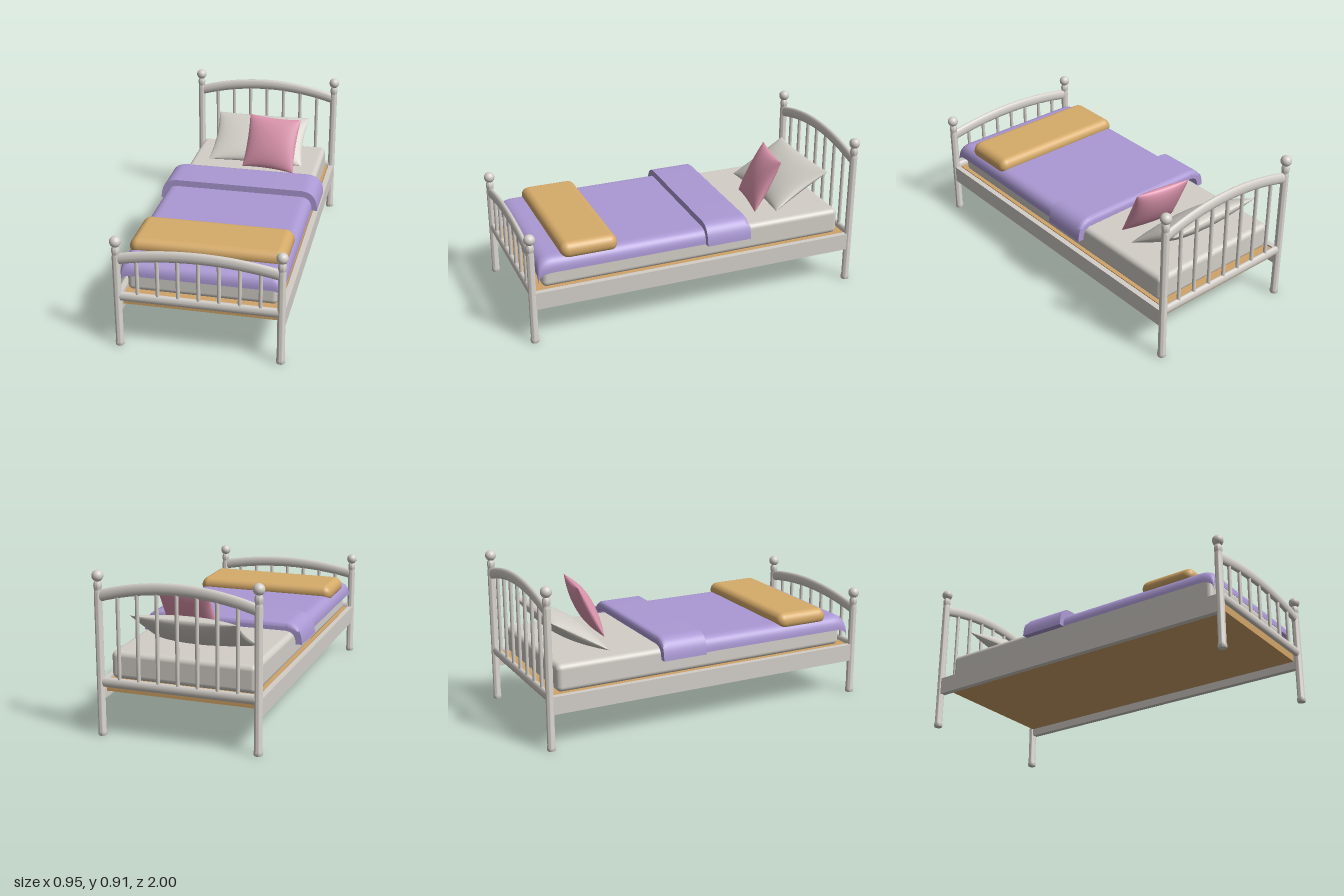
import * as THREE from 'three';
import { mergeGeometries, toCreasedNormals } from 'three/addons/utils/BufferGeometryUtils.js';
import { RoundedBoxGeometry } from 'three/addons/geometries/RoundedBoxGeometry.js';

const material = (name, color, side = THREE.FrontSide) => {
  const m = new THREE.MeshStandardMaterial({ color, side });
  m.name = name;
  return m;
};

// Move every vertex of a geometry by a rule
function reshape(geometry, rule) {
  const p = geometry.attributes.position;
  const v = new THREE.Vector3();
  for (let i = 0; i < p.count; i++) {
    rule(v.fromBufferAttribute(p, i));
    p.setXYZ(i, v.x, v.y, v.z);
  }
  geometry.computeVertexNormals();
  return geometry;
}

// Turned bed post with a ball finial
function postGeometry(ballY) {
  const post = [
    [0, 0], [0.022, 0], [0.024, 0.005], [0.024, 0.022], [0.0215, 0.03],
    [0.0215, ballY - 0.09], [0.02, ballY - 0.08], [0.0185, ballY - 0.075],
    [0.021, ballY - 0.066], [0.023, ballY - 0.052], [0.021, ballY - 0.038], [0.015, ballY - 0.026],
  ].map(([r, y]) => new THREE.Vector2(r, y));
  const ball = new THREE.SphereGeometry(0.031, 28, 18).translate(0, ballY, 0);
  const lathe = toCreasedNormals(new THREE.LatheGeometry(post, 24), 0.7);
  return mergeGeometries([lathe, ball.toNonIndexed()]);
}

const archY = (x, endY, rise) => endY + rise * (1 - (x / 0.43) ** 2);

// Oval cross bar along x, bowed upward by rise
function barGeometry(endY, rise, halfHeight) {
  const g = new THREE.CylinderGeometry(1, 1, 0.87, 24, 32, true).rotateZ(Math.PI / 2);
  return reshape(g, (v) => {
    v.y = v.y * halfHeight + archY(v.x, endY, rise);
    v.z *= 0.017;
  });
}

// Two puffed faces with pinched corners and hollow edges
function pillowGeometry(w, h, t) {
  const front = new THREE.PlaneGeometry(2, 2, 24, 24);
  const puff = (sign) => reshape(front.clone(), (v) => {
    const u = Math.sin(v.x * Math.PI / 2), k = Math.sin(v.y * Math.PI / 2);
    const lift = Math.sqrt(Math.max(0, (1 - u * u) * (1 - k * k)));
    v.set(sign * u * w / 2 * (1 - 0.06 * (1 - k * k)),
      k * h / 2 * (1 - 0.06 * (1 - u * u)), sign * t / 2 * lift);
  });
  return mergeGeometries([puff(1), puff(-1)]);
}

// Position along a cloth that bends over an edge: q from 0 (flat) to 1 (hem)
const bend = (q, flat, reach, drop) => {
  const a = THREE.MathUtils.clamp(q, 0, 1) * Math.PI / 2;
  const out = Math.pow(Math.max(0, Math.sin(a)), 0.8);
  const down = 1 - Math.pow(Math.max(0, Math.cos(a)), 0.8);
  return [flat + reach * out, drop * down];
};

// Blanket draped over both sides and the foot, with corners hanging lower
function blanketGeometry() {
  const g = new THREE.PlaneGeometry(4, 2, 48, 24).rotateX(-Math.PI / 2);
  return reshape(g, (v) => {
    const s = Math.abs(v.x);
    const [x, dropX] = s <= 1 ? [s * 0.37, 0] : bend(s - 1, 0.37, 0.072, 0.082);
    const [z, dropZ] = v.z <= 0 ? [0.84 + v.z * 1.12, 0] : bend(v.z, 0.84, 0.092, 0.082);
    const corner = dropX * dropZ / (0.082 * 0.082);
    v.set(Math.sign(v.x) * (x - 0.01 * corner), 0.487 - dropX - dropZ + 0.018 * corner, z);
  });
}

// Thick folded-back band of the blanket, rounded along its head edge
function foldGeometry() {
  const s = new THREE.Shape();
  s.moveTo(-0.475, 0.405);
  s.bezierCurveTo(-0.472, 0.475, -0.45, 0.525, -0.37, 0.525);
  s.lineTo(0.37, 0.525);
  s.bezierCurveTo(0.45, 0.525, 0.472, 0.475, 0.475, 0.405);
  s.lineTo(0.438, 0.405);
  s.bezierCurveTo(0.438, 0.45, 0.42, 0.478, 0.37, 0.478);
  s.lineTo(-0.37, 0.478);
  s.bezierCurveTo(-0.42, 0.478, -0.438, 0.45, -0.438, 0.405);
  const g = new THREE.ExtrudeGeometry(s, { depth: 0.265, steps: 40, bevelEnabled: false, curveSegments: 14 });
  g.translate(0, 0, -0.31);
  const r = 0.025;
  reshape(g, (v) => {
    const d = THREE.MathUtils.clamp(v.z + 0.31, 0, r);
    if (v.y > 0.485) v.y -= r - Math.sqrt(Math.max(0, d * (2 * r - d)));
  });
  return toCreasedNormals(g, 0.8);
}

export function createModel() {
  const white = material('paintedWhite', 0xd3cec8);
  const linen = material('linenWhite', 0xd3cfc8, THREE.DoubleSide);
  const wood = material('woodTan', 0xd0a468);
  const tan = material('throwTan', 0xd6ab6a);
  const lilac = material('lilac', 0xab99d4, THREE.DoubleSide);
  const pink = material('pink', 0xdf97b0, THREE.DoubleSide);

  const model = new THREE.Group();
  model.name = 'bed';
  const add = (parent, name, geometry, mat, x = 0, y = 0, z = 0) => {
    const mesh = new THREE.Mesh(geometry, mat);
    mesh.name = name;
    mesh.position.set(x, y, z);
    parent.add(mesh);
    return mesh;
  };

  // Headboard and footboard
  const ends = [
    { name: 'headboard', z: -0.969, ballY: 0.877, endY: 0.771, rise: 0.065 },
    { name: 'footboard', z: 0.969, ballY: 0.623, endY: 0.525, rise: 0.045 },
  ];
  for (const { name, z, ballY, endY, rise } of ends) {
    const board = new THREE.Group();
    board.name = name;
    board.position.z = z;
    model.add(board);
    for (const side of [-1, 1]) add(board, side > 0 ? 'leftPost' : 'rightPost', postGeometry(ballY), white, side * 0.44);
    add(board, 'archedRail', barGeometry(endY, rise, 0.032), white);
    add(board, 'lowerRail', barGeometry(0.301, 0, 0.027), white);
    for (let i = -3; i <= 3; i++) {
      const x = i * 0.11, h = archY(x, endY, rise) - 0.3;
      add(board, 'spindle', new THREE.CylinderGeometry(0.0105, 0.0105, h, 16), white, x, 0.3 + h / 2);
    }
  }

  // Side rails and platform
  for (const side of [-1, 1]) {
    add(model, side > 0 ? 'leftSideRail' : 'rightSideRail', new THREE.BoxGeometry(0.032, 0.1, 1.92), white, side * 0.44, 0.254);
  }
  add(model, 'platform', new THREE.BoxGeometry(0.832, 0.055, 1.9), wood, 0, 0.2725);

  // Bedding
  add(model, 'mattress', new RoundedBoxGeometry(0.816, 0.155, 1.81, 4, 0.03), linen, 0, 0.3775, -0.004);
  add(model, 'blanket', blanketGeometry(), lilac);
  add(model, 'blanketFold', foldGeometry(), lilac);

  // Folded throw, wider toward its underside
  const cover = new RoundedBoxGeometry(0.866, 0.09, 0.325, 6, 0.044);
  const p = cover.attributes.position;
  for (let i = 0; i < p.count; i++) p.setX(i, p.getX(i) * (1 - 0.5 * Math.max(0, p.getY(i) + 0.02)));
  add(model, 'footThrow', cover, tan, 0, 0.5, 0.628);

  // Pillows
  const pillow = add(model, 'pillow', pillowGeometry(0.6, 0.385, 0.12), linen, 0, 0.555, -0.722);
  pillow.rotation.set(-1.03, 0, 0);
  const cushion = add(model, 'cushion', pillowGeometry(0.335, 0.335, 0.1), pink, 0.11, 0.607, -0.533);
  cushion.rotation.set(-0.46, -0.15, 0, 'YXZ');

  return model;
}
